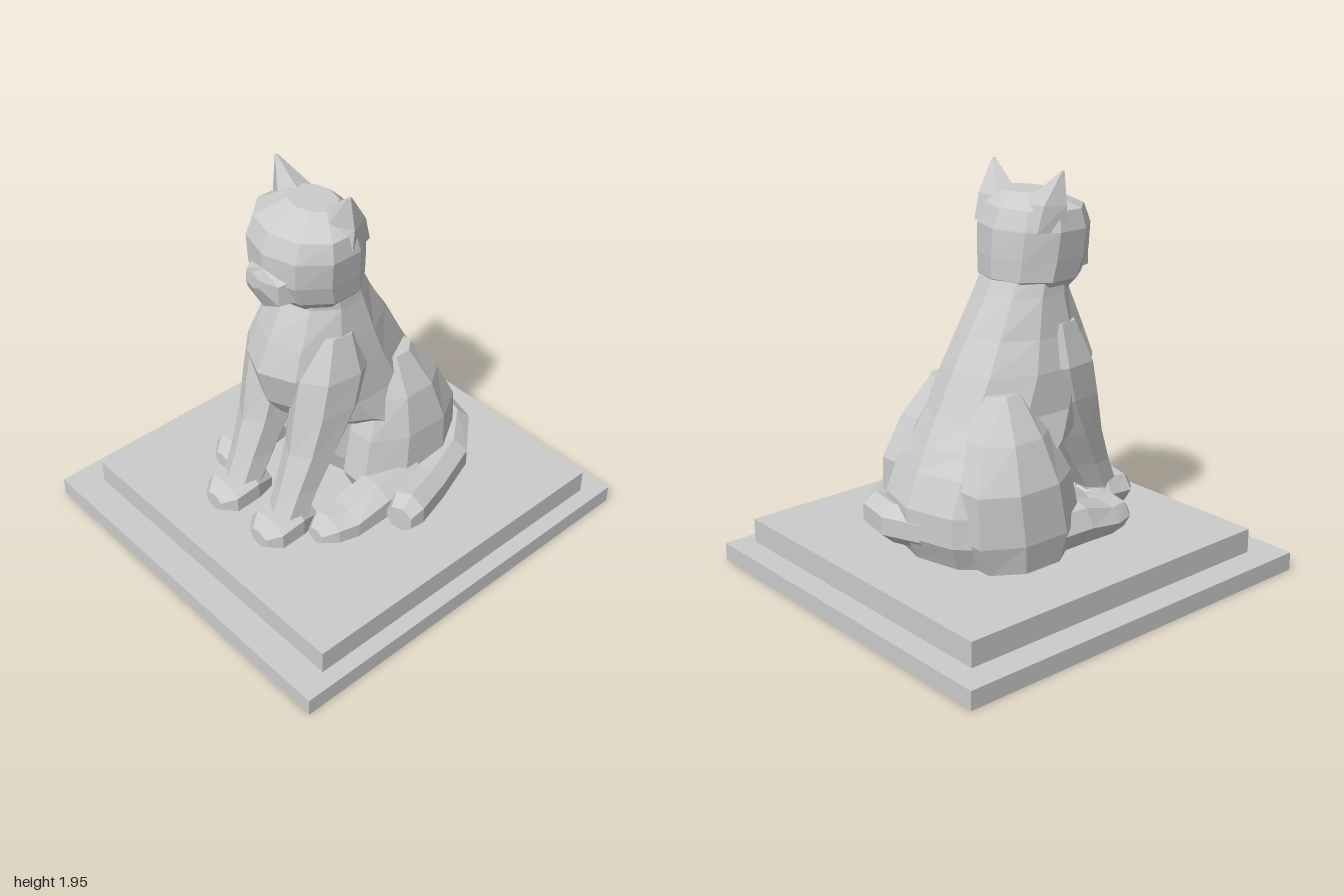
import * as THREE from 'three';

const material = new THREE.MeshStandardMaterial({ color: 0xcccccc, flatShading: true });

// Closed faceted loft. Ring: [x, y, z, r1, r2, heading].
// Flat rings lie level (r1 along x, r2 along z); upright rings stand
// across a heading about y (r1 sideways, r2 up).
function loft(rings, sides, upright = false, phase = 0.5) {
  const pos = [], index = [];
  for (const [x, y, z, r1, r2, heading = 0] of rings) {
    for (let i = 0; i < sides; i++) {
      const a = ((i + phase) / sides) * Math.PI * 2;
      const c = Math.cos(a) * r1, s = Math.sin(a) * r2;
      if (upright) pos.push(x + Math.sin(heading) * c, y + s, z + Math.cos(heading) * c);
      else pos.push(x + c, y, z + s);
    }
  }
  const n = rings.length;
  for (let k = 0; k < n - 1; k++) {
    for (let i = 0; i < sides; i++) {
      const a = k * sides + i, b = k * sides + ((i + 1) % sides);
      index.push(a, a + sides, b, b, a + sides, b + sides);
    }
  }
  // End caps
  const end = n * sides;
  pos.push(...rings[0].slice(0, 3), ...rings[n - 1].slice(0, 3));
  for (let i = 0; i < sides; i++) {
    const j = (i + 1) % sides, last = (n - 1) * sides;
    index.push(end, i, j, end + 1, last + j, last + i);
  }
  // Turn the faces outward when the enclosed volume comes out negative
  const v = (i) => new THREE.Vector3().fromArray(pos, i * 3);
  let volume = 0;
  for (let i = 0; i < index.length; i += 3) {
    volume += v(index[i]).dot(v(index[i + 1]).cross(v(index[i + 2])));
  }
  if (volume < 0) index.reverse();
  const geometry = new THREE.BufferGeometry();
  geometry.setAttribute('position', new THREE.Float32BufferAttribute(pos, 3));
  geometry.setIndex(index);
  const flat = geometry.toNonIndexed();
  flat.computeVertexNormals();
  return flat;
}

// Level ring given by its x extent
const span = (y, x0, x1, z, rz) => [(x0 + x1) / 2, y, z, (x1 - x0) / 2, rz];

export function createModel() {
  const model = new THREE.Group();
  const add = (name, geometry) => {
    const mesh = new THREE.Mesh(geometry, material);
    mesh.name = name;
    model.add(mesh);
    return mesh;
  };

  // Two-step plinth
  add('lowerStep', new THREE.BoxGeometry(2, 0.09, 1.88)).position.set(0, 0.045, 0);
  add('upperStep', new THREE.BoxGeometry(1.73, 0.12, 1.66)).position.set(0.015, 0.15, 0.03);

  // Torso, narrow neck down to the broad rump
  add('torso', loft([
    span(0.22, -0.02, 0.56, -0.03, 0.38),
    span(0.34, -0.06, 0.62, -0.03, 0.42),
    span(0.48, -0.08, 0.62, -0.03, 0.41),
    span(0.64, -0.1, 0.55, -0.03, 0.39),
    span(0.74, -0.32, 0.5, -0.02, 0.35),
    span(0.86, -0.41, 0.43, -0.01, 0.31),
    span(1.05, -0.46, 0.33, -0.01, 0.29),
    span(1.2, -0.4, 0.23, 0, 0.26),
    span(1.38, -0.31, 0.12, 0, 0.23),
    span(1.48, -0.3, 0.07, 0, 0.22),
  ], 10, false, 0));

  // Head and muzzle
  add('head', loft([
    span(1.37, -0.3, 0.04, 0, 0.18),
    span(1.45, -0.38, 0.09, 0, 0.25),
    span(1.55, -0.42, 0.09, 0, 0.265),
    span(1.68, -0.42, 0.08, 0, 0.28),
    span(1.77, -0.38, 0.04, 0, 0.26),
    span(1.84, -0.23, -0.03, 0, 0.13),
  ], 10, false, 0));
  add('muzzle', loft([
    [-0.3, 1.53, 0, 0.17, 0.13, 0],
    [-0.42, 1.51, 0, 0.12, 0.1, 0],
    [-0.475, 1.57, 0, 0.05, 0.04, 0],
  ], 6, true));

  for (const side of [1, -1]) {
    const label = side > 0 ? 'left' : 'right';

    // Pointed ear leaning outward
    add(label + 'Ear', loft([
      [-0.1, 1.68, side * 0.14, 0.13, 0.13],
      [-0.1, 1.8, side * 0.16, 0.09, 0.11],
      [-0.13, 1.95, side * 0.235, 0.008, 0.008],
    ], 5));

    // Foreleg tapering forward from the shoulder
    const pawZ = side > 0 ? 0.2 : -0.13;
    const at = (t) => side * 0.17 * (1 - t) + pawZ * t;
    add(label + 'Foreleg', loft([
      span(0.26, -0.57, -0.37, at(1), 0.09),
      span(0.36, -0.58, -0.36, at(1), 0.095),
      span(0.5, -0.52, -0.27, at(0.8), 0.1),
      span(0.68, -0.45, -0.15, at(0.5), 0.12),
      span(0.88, -0.41, -0.01, at(0.2), 0.14),
      span(1.05, -0.37, 0.04, at(0), 0.14),
      span(1.25, -0.26, -0.04, at(0), 0.08),
    ], 7));
    add(label + 'Forepaw', loft([
      [-0.36, 0.29, pawZ, 0.08, 0.06],
      [-0.47, 0.32, pawZ, 0.12, 0.1],
      [-0.6, 0.31, pawZ, 0.12, 0.09],
      [-0.66, 0.3, pawZ, 0.06, 0.045],
    ], 7, true));

    // Thigh bulging out from the flank
    const out = side > 0 ? 0 : 0.08;
    add(label + 'Thigh', loft([
      span(0.22, -0.06, 0.46, side * (0.25 + out), 0.17),
      span(0.36, -0.13, 0.52, side * (0.25 + out), 0.19),
      span(0.6, -0.08, 0.52, side * (0.24 + out), 0.18),
      span(0.8, 0.0, 0.42, side * (0.22 + out / 2), 0.15),
      span(0.98, 0.08, 0.29, side * 0.18, 0.09),
    ], 8));

    // Hind foot lying along the ground
    add(label + 'HindFoot', loft([
      [0.15, 0.33, side * 0.37, 0.12, 0.12],
      [-0.1, 0.33, side * 0.38, 0.12, 0.11],
      [-0.28, 0.3, side * 0.37, 0.12, 0.085],
      [-0.38, 0.3, side * 0.36, 0.1, 0.08],
      [-0.44, 0.28, side * 0.35, 0.05, 0.04],
    ], 7, true));
  }

  // Tail curled around the left side
  add('tail', loft([
    [0.53, 0.37, -0.1, 0.08, 0.1, Math.PI / 2],
    [0.58, 0.36, 0.1, 0.09, 0.1, 1.5],
    [0.54, 0.35, 0.28, 0.09, 0.1, 1.0],
    [0.38, 0.34, 0.41, 0.1, 0.1, 0.5],
    [0.15, 0.33, 0.49, 0.1, 0.1, 0.28],
    [-0.04, 0.34, 0.55, 0.1, 0.1, 0.25],
    [-0.11, 0.33, 0.57, 0.07, 0.07, 0.25],
  ], 7, true));

  return model;
}
